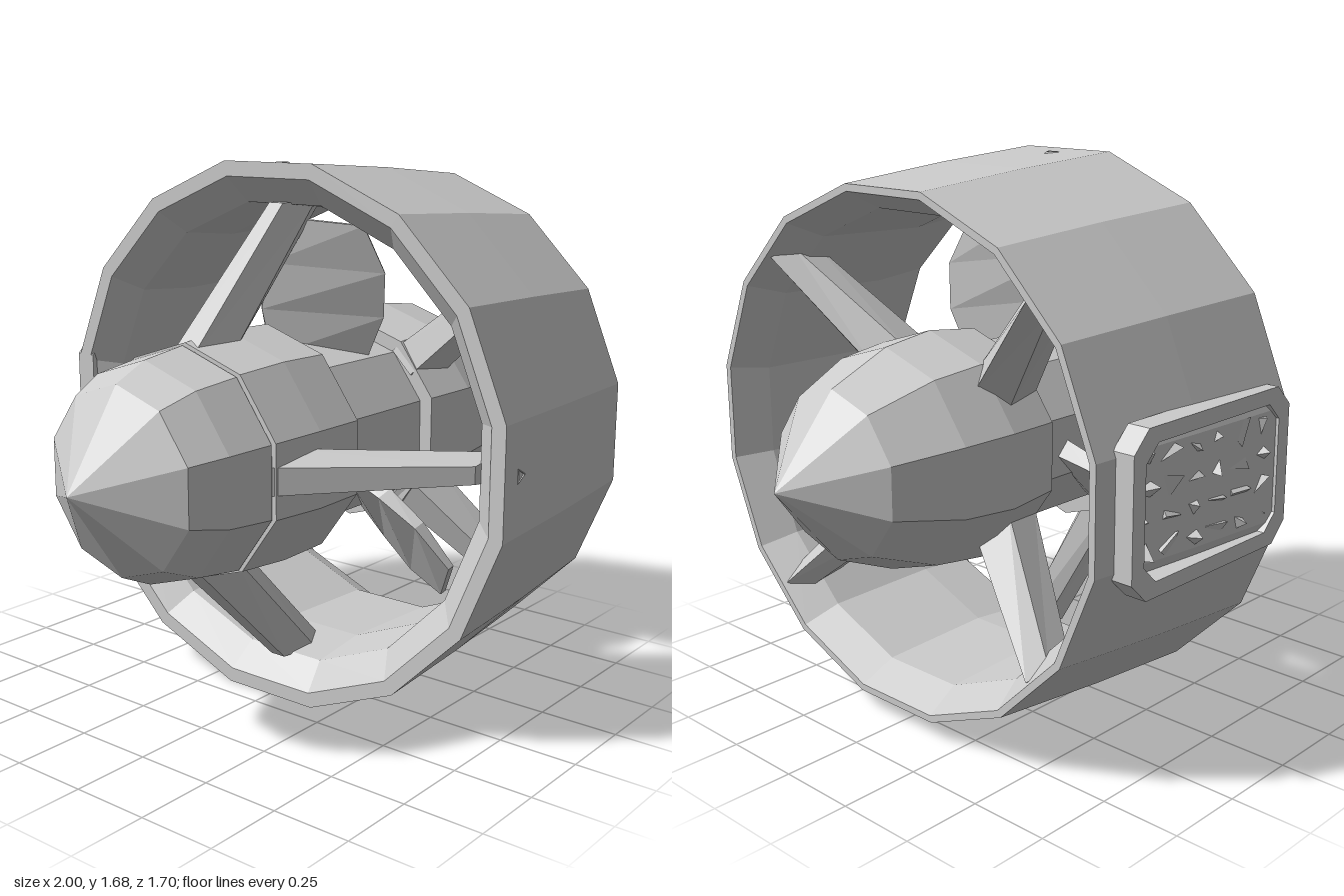
import * as THREE from 'three';

const CY = 0.84; // height of the thruster axis

export function createModel() {
  const model = new THREE.Group();
  const grey = new THREE.MeshStandardMaterial({ color: 0xcccccc, flatShading: true, side: THREE.DoubleSide });

  // Everything is built round the x axis, then lifted to CY
  const thruster = new THREE.Group();
  thruster.name = 'thruster';
  thruster.position.y = CY;
  model.add(thruster);

  const add = (name, geometry) => {
    const mesh = new THREE.Mesh(geometry, grey);
    mesh.name = name;
    thruster.add(mesh);
    return mesh;
  };

  // Turned part: profile of [x, radius] pairs revolved about x
  const turned = (name, profile, sides) => {
    const pts = profile.map(([x, r]) => new THREE.Vector2(r, x));
    const g = new THREE.LatheGeometry(pts, sides, Math.PI / sides);
    g.rotateZ(-Math.PI / 2);
    add(name, g);
  };

  // Duct ring with chamfered lips and a narrower throat
  turned('ductRing', [
    [-0.18, 0.81], [-0.18, 0.857], [0.2, 0.832], [0.59, 0.797],
    [0.59, 0.775], [0.48, 0.718], [0.1, 0.705], [-0.1, 0.728], [-0.18, 0.81],
  ], 16);

  // Rear dome, motor housing, propeller hub and nose cone
  turned('rearDome', [[-1, 0], [-0.81, 0.275], [-0.7, 0.325], [-0.55, 0.345], [-0.55, 0]], 10);
  turned('hubNeck', [[-0.56, 0.31], [-0.53, 0.31]], 10);
  turned('motorHousing', [[-0.54, 0], [-0.54, 0.352], [-0.36, 0.365], [-0.18, 0.36], [-0.18, 0]], 10);
  turned('propellerHub', [[-0.2, 0.29], [0.26, 0.29]], 10);
  turned('noseCone', [[0.24, 0], [0.24, 0.335], [0.42, 0.357], [0.59, 0.335], [0.79, 0.25], [1, 0]], 10);

  // Slanted tapered strut, ridged towards the nose: each end is [x, radius, axial depth, width]
  const strut = (name, inner, outer, angle) => {
    const g = new THREE.CylinderGeometry(0.5, 0.5, 1, 5, 1, false, Math.PI / 2);
    const p = g.attributes.position;
    for (let i = 0; i < p.count; i++) {
      const [x, r, depth, width] = p.getY(i) > 0 ? outer : inner;
      p.setXYZ(i, x + p.getX(i) * depth, r, p.getZ(i) * width);
    }
    g.rotateX(angle);
    add(name, g);
  };
  for (let i = 0; i < 4; i++) {
    const a = (i * Math.PI) / 2;
    strut('rearStrut', [-0.46, 0.3, 0.27, 0.14], [-0.04, 0.72, 0.24, 0.09], a);
    strut('frontStrut', [0.33, 0.29, 0.24, 0.17], [0.49, 0.75, 0.18, 0.09], a + Math.PI / 4);
  }

  // Pitched propeller blades, turned a little off the vertical
  for (let i = 0; i < 3; i++) {
    const g = new THREE.BoxGeometry(1, 1, 1, 1, 3, 1);
    const p = g.attributes.position;
    const chord = [0.3, 0.38, 0.36, 0.2];
    for (let k = 0; k < p.count; k++) {
      const t = p.getY(k) + 0.5;
      const pitch = THREE.MathUtils.lerp(0.85, 0.6, t);
      const c = p.getZ(k) * chord[Math.round(t * 3)];
      const th = p.getX(k) * THREE.MathUtils.lerp(0.06, 0.02, t);
      p.setXYZ(k,
        0.03 + c * Math.sin(pitch) + th * Math.cos(pitch),
        0.24 + t * 0.42,
        c * Math.cos(pitch) - th * Math.sin(pitch));
    }
    g.rotateX((i * Math.PI * 2) / 3 + 0.12);
    add('propellerBlade', g);
  }

  // Raised access frame on the back of the duct
  const outline = (w, h, cut, Type) => {
    const s = new Type();
    [[-w, -h + cut], [-w + cut, -h], [w - cut, -h], [w, -h + cut],
      [w, h - cut], [w - cut, h], [-w + cut, h], [-w, h - cut]]
      .forEach(([x, y], i) => (i ? s.lineTo(x, y) : s.moveTo(x, y)));
    s.closePath();
    return s;
  };
  const frame = outline(0.35, 0.235, 0.06, THREE.Shape);
  frame.holes.push(outline(0.3, 0.19, 0.05, THREE.Path));
  const frameGeometry = new THREE.ExtrudeGeometry(frame, { depth: 0.07, bevelEnabled: false });
  frameGeometry.translate(0.17, 0, -0.847);
  add('accessFrame', frameGeometry);

  // Small jagged fittings inside the frame, following the taper of the duct
  let seed = 7;
  const rand = () => (seed = (seed * 16807) % 2147483647) / 2147483647;
  for (let i = 0; i < 6; i++) {
    for (let j = 0; j < 4; j++) {
      const m = add('fitting', new THREE.TetrahedronGeometry(0.035 + 0.02 * rand()));
      m.position.set(-0.07 + i * 0.096, -0.13 + j * 0.088, -0.815 + i * 0.006);
      m.rotation.set(rand() * 6, rand() * 6, rand() * 6);
    }
  }

  // Small triangular ports on the front, top and underside of the duct
  for (const a of [0, Math.PI / 2, -Math.PI / 2]) {
    const g = new THREE.TorusGeometry(0.025, 0.006, 3, 3);
    g.translate(-0.09, 0.01, 0.833);
    g.rotateX(a);
    add('ductPort', g);
  }

  return model;
}
